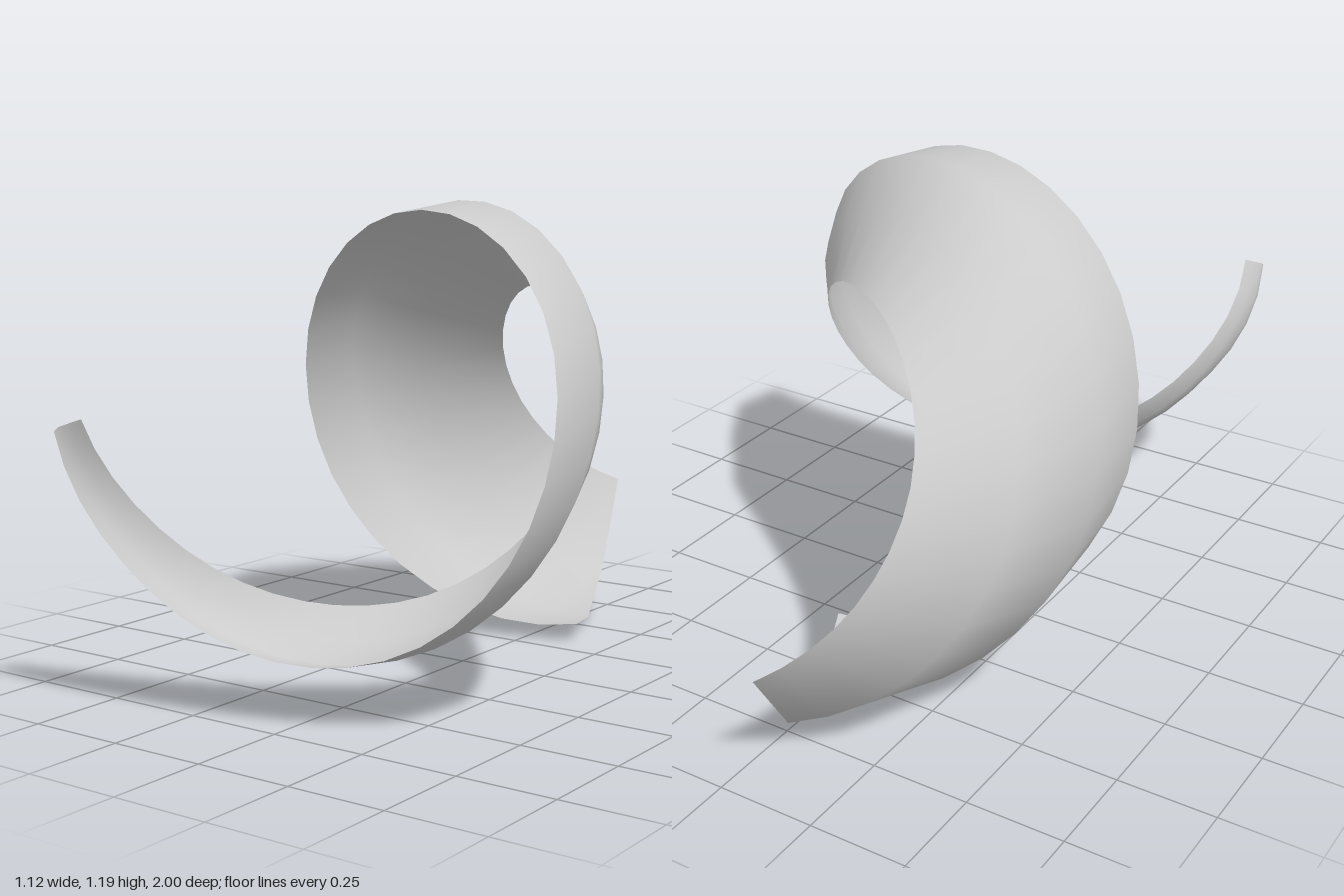
import * as THREE from 'three';

const CENTRE_X = 0.04, CENTRE_Y = 0.6, STEPS = 45;

// Four lengthwise rails from the inner rim to the front rim. Each winds round the z axis:
// start and end angle (degrees), start and end z, and radii at even spacing.
const rails = [
  { angle: [165, 601], z: [0.95, -1.0], radii: [0.435, 0.385, 0.355, 0.35, 0.352, 0.355, 0.36, 0.365, 0.355, 0.328, 0.31] },
  { angle: [166.5, 619], z: [0.965, -0.82], radii: [0.45, 0.42, 0.415, 0.43, 0.455, 0.48, 0.495, 0.505, 0.51, 0.51, 0.52] },
  { angle: [168, 629], z: [0.985, -0.59], radii: [0.465, 0.432, 0.45, 0.48, 0.515, 0.568, 0.59, 0.595, 0.6, 0.592, 0.6] },
  { angle: [169, 641], z: [1.0, -0.33], radii: [0.463, 0.43, 0.44, 0.47, 0.5, 0.55, 0.57, 0.58, 0.575, 0.56, 0.56] },
];

const { lerp, degToRad } = THREE.MathUtils;

// Smooth radius along a rail
function radiusCurve(radii) {
  return new THREE.SplineCurve(radii.map((r, i) => new THREE.Vector2(i, r)));
}

// Curved ribbon that widens as it coils from front to back
function coilGeometry() {
  const across = rails.length;
  const geometry = new THREE.PlaneGeometry(1, 1, across - 1, STEPS);
  const position = geometry.attributes.position;
  rails.forEach((rail, j) => {
    const radius = radiusCurve(rail.radii);
    for (let i = 0; i <= STEPS; i++) {
      const t = i / STEPS;
      const r = radius.getPoint(t).y;
      const a = degToRad(lerp(...rail.angle, t));
      position.setXYZ(
        i * across + j,
        CENTRE_X + r * Math.cos(a),
        CENTRE_Y + r * Math.sin(a),
        lerp(...rail.z, t)
      );
    }
  });
  geometry.computeVertexNormals();
  return geometry;
}

export function createModel() {
  const model = new THREE.Group();
  model.name = 'spiralPeel';
  const material = new THREE.MeshStandardMaterial({ color: 0xcccccc, side: THREE.DoubleSide });
  const ribbon = new THREE.Mesh(coilGeometry(), material);
  ribbon.name = 'coiledRibbon';
  model.add(ribbon);
  return model;
}
